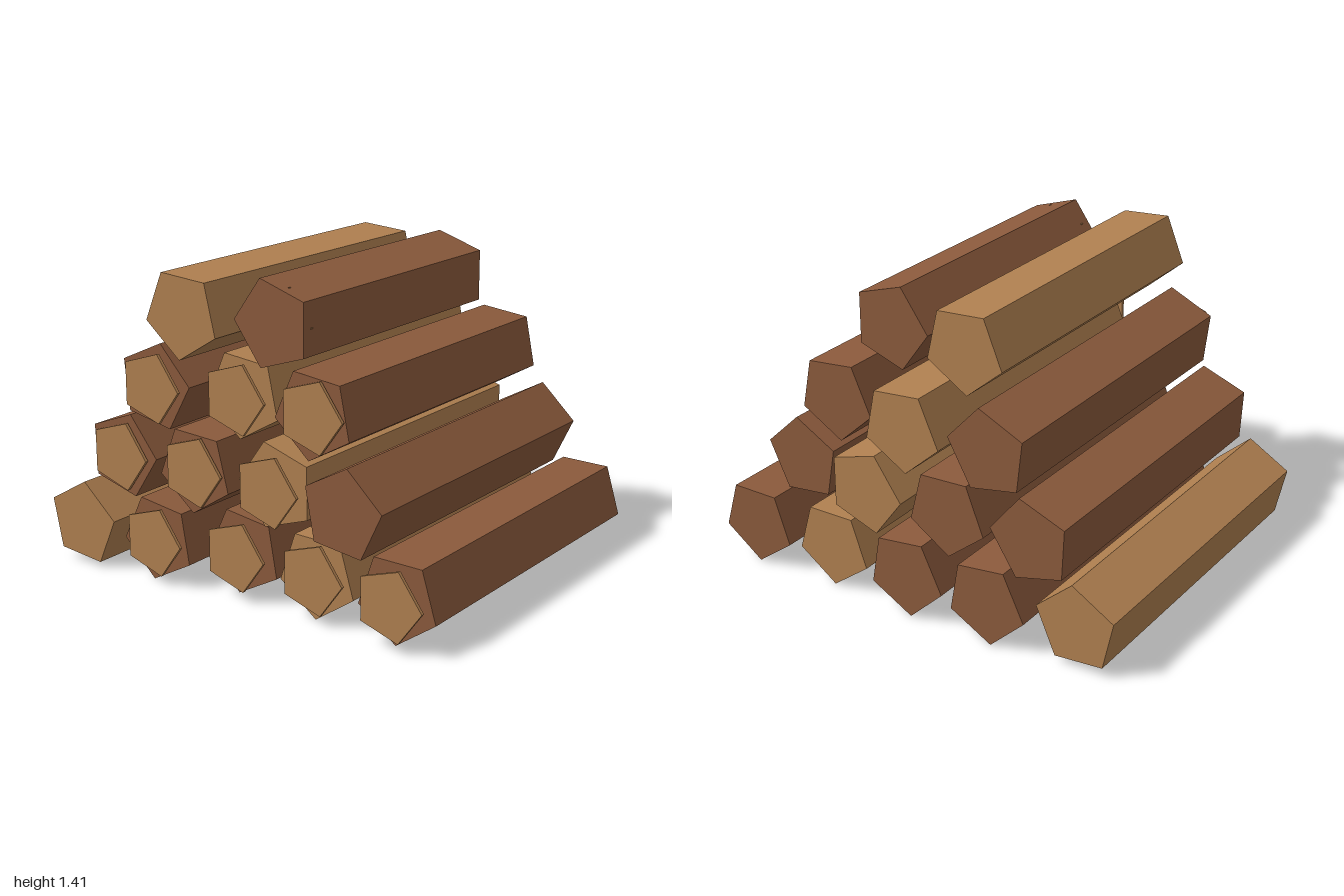
import * as THREE from 'three';

const LOG_RADIUS = 0.195;
const END_RADIUS = 0.16;
const END_THICKNESS = 0.015;

// Five-sided prism along z, with one corner at the given angle (degrees)
function pentagonPrism(radius, zBack, zFront, angle) {
  const indexed = new THREE.CylinderGeometry(radius, radius, zFront - zBack, 5);
  indexed.rotateX(Math.PI / 2);
  indexed.rotateZ(THREE.MathUtils.degToRad(angle + 90));
  indexed.translate(0, 0, (zBack + zFront) / 2);
  const geometry = indexed.toNonIndexed();
  geometry.computeVertexNormals(); // faceted sides
  return geometry;
}

// x, y, corner angle, back z, front z, wood, z of the cut end plate (null if none)
const LOGS = [
  // bottom row
  [-0.823, 0.2, 84, -0.75, 0.815, 'light', null],
  [-0.415, 0.198, 118, -0.805, 0.77, 'dark', 0.805],
  [-0.01, 0.2, 118, -0.82, 0.68, 'dark', 0.745],
  [0.404, 0.2, 124.5, -0.8, 0.72, 'light', 0.76],
  [0.813, 0.2, 125, -0.835, 0.742, 'dark', 0.8],
  // second row
  [-0.62, 0.543, 74.5, -0.78, 0.755, 'dark', 0.778],
  [-0.21, 0.546, 122.5, -0.79, 0.755, 'dark', 0.772],
  [0.198, 0.543, 108.5, -0.818, 0.72, 'light', 0.787],
  [0.608, 0.543, 82.5, -0.732, 0.832, 'dark', null],
  // third row
  [-0.414, 0.886, 78.5, -0.783, 0.765, 'dark', 0.793],
  [-0.008, 0.889, 120, -0.818, 0.67, 'light', 0.73],
  [0.404, 0.889, 119.5, -0.735, 0.742, 'dark', 0.757],
  // top row
  [-0.21, 1.231, 121.5, -0.653, 0.817, 'light', null],
  [0.198, 1.228, 108, -0.605, 0.735, 'dark', 0.682],
];

export function createModel() {
  const wood = {
    dark: new THREE.MeshStandardMaterial({ color: 0x8b5a3c }),
    light: new THREE.MeshStandardMaterial({ color: 0xb08050 }),
  };
  wood.dark.name = 'darkWood';
  wood.light.name = 'lightWood';

  const pile = new THREE.Group();
  pile.name = 'logPile';

  LOGS.forEach(([x, y, angle, zBack, zFront, tone, endZ], i) => {
    const log = new THREE.Group();
    log.name = `log${i + 1}`;
    log.position.set(x, y, 0);

    // trunk
    const trunk = new THREE.Mesh(pentagonPrism(LOG_RADIUS, zBack, zFront, angle), wood[tone]);
    trunk.name = 'trunk';
    log.add(trunk);

    // pale cut end plate at the front
    if (endZ !== null) {
      const half = END_THICKNESS / 2;
      const end = new THREE.Mesh(pentagonPrism(END_RADIUS, endZ - half, endZ + half, 0), wood.light);
      end.name = 'cutEnd';
      log.add(end);
    }
    pile.add(log);
  });

  return pile;
}
